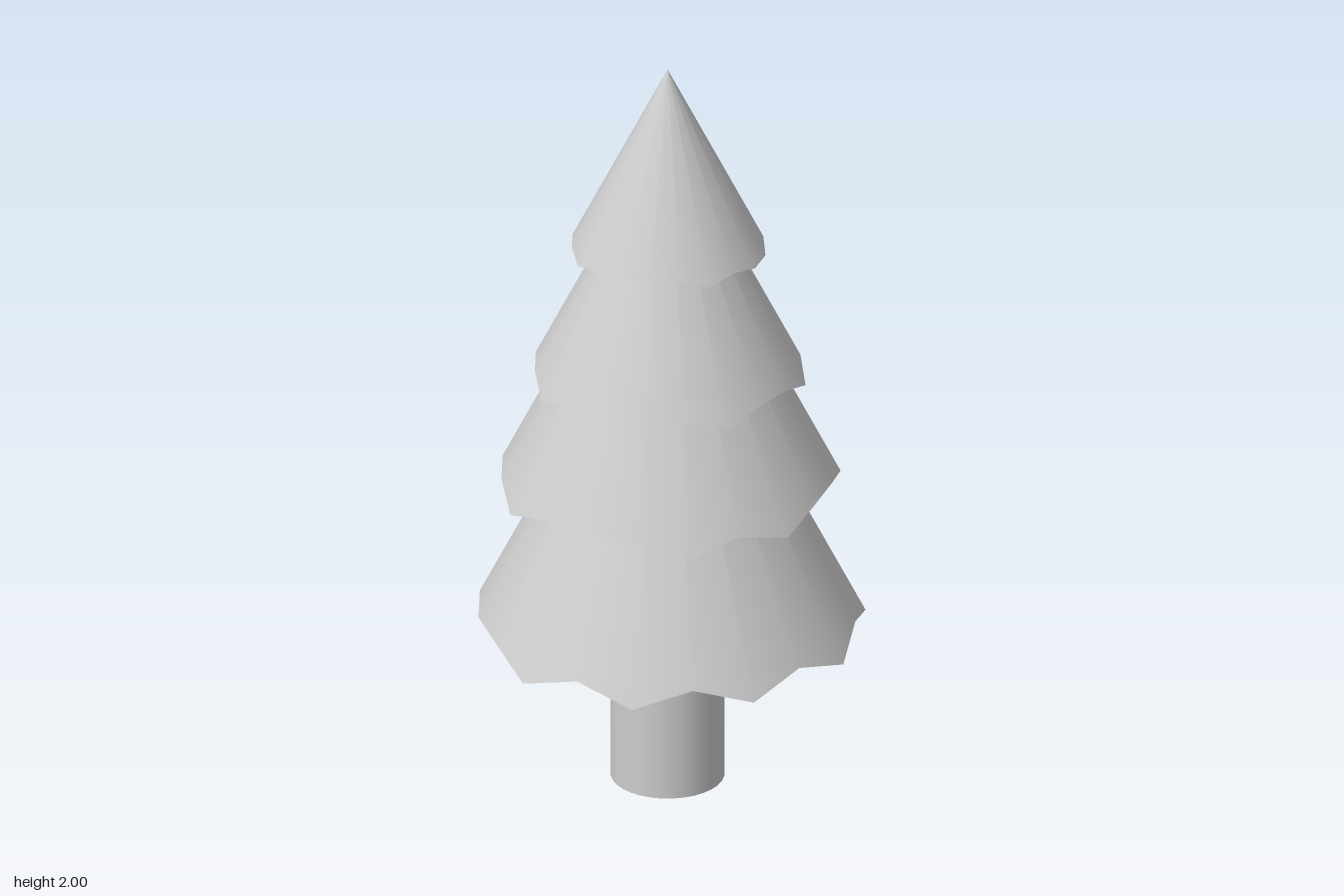
import * as THREE from 'three';
import { mergeGeometries } from 'three/addons/utils/BufferGeometryUtils.js';

const SLOPE = 0.5; // cone radius lost per unit of height

// Closed cone with a jagged rim: each rim letter is a low tip (L) or a high notch (H).
function tierGeometry({ tipY, notchY, radius, rim }) {
  const n = rim.length;
  const apex = new THREE.Vector3(0, tipY + radius / SLOPE, 0);
  const angle = (i) => (i / n) * Math.PI * 2;
  const points = [...rim].map((c, i) => {
    const y = c === 'L' ? tipY : notchY;
    const r = radius - (y - tipY) * SLOPE;
    return new THREE.Vector3(r * Math.cos(angle(i)), y, r * Math.sin(angle(i)));
  });
  const meanY = points.reduce((sum, p) => sum + p.y, 0) / n;
  const centre = new THREE.Vector3(0, meanY, 0);
  const normalAt = (i) =>
    new THREE.Vector3(Math.cos(angle(i)), SLOPE, Math.sin(angle(i))).normalize();

  const side = [], sideNormals = [], under = [];
  for (let i = 0; i < n; i++) {
    const a = points[i], b = points[(i + 1) % n];
    side.push(b, a, apex);
    sideNormals.push(normalAt(i + 1), normalAt(i), normalAt(i + 0.5));
    under.push(centre, a, b);
  }

  // smooth slope
  const slope = new THREE.BufferGeometry().setFromPoints(side);
  const flat = sideNormals.flatMap((v) => v.toArray());
  slope.setAttribute('normal', new THREE.Float32BufferAttribute(flat, 3));
  // flat underside
  const cap = new THREE.BufferGeometry().setFromPoints(under);
  cap.computeVertexNormals();
  return mergeGeometries([slope, cap]);
}

export function createModel() {
  const tree = new THREE.Group();
  tree.name = 'pineTree';
  const material = new THREE.MeshStandardMaterial({ color: 0xcccccc });

  // Trunk, reaching just into the lowest tier
  const trunk = new THREE.Mesh(new THREE.CylinderGeometry(0.145, 0.145, 0.48, 32), material);
  trunk.position.y = 0.24;
  trunk.name = 'trunk';
  tree.add(trunk);

  // Foliage tiers, bottom to top
  const tiers = [
    { tipY: 0.43, notchY: 0.475, radius: 0.507, rim: 'LHLHLHLHHHLHHLHHLHLH' },
    { tipY: 0.83, notchY: 0.865, radius: 0.443, rim: 'HLHLHHHLHHLHHLHLHHLH' },
    { tipY: 1.135, notchY: 1.167, radius: 0.356, rim: 'HHLHLHHLHHLHHLHHLHHL' },
    { tipY: 1.495, notchY: 1.51, radius: 0.2525, rim: 'LHLHLHHLHHHLHLLHHLHL' },
  ];
  tiers.forEach((tier, i) => {
    const mesh = new THREE.Mesh(tierGeometry(tier), material);
    mesh.name = `foliageTier${i + 1}`;
    tree.add(mesh);
  });
  return tree;
}
